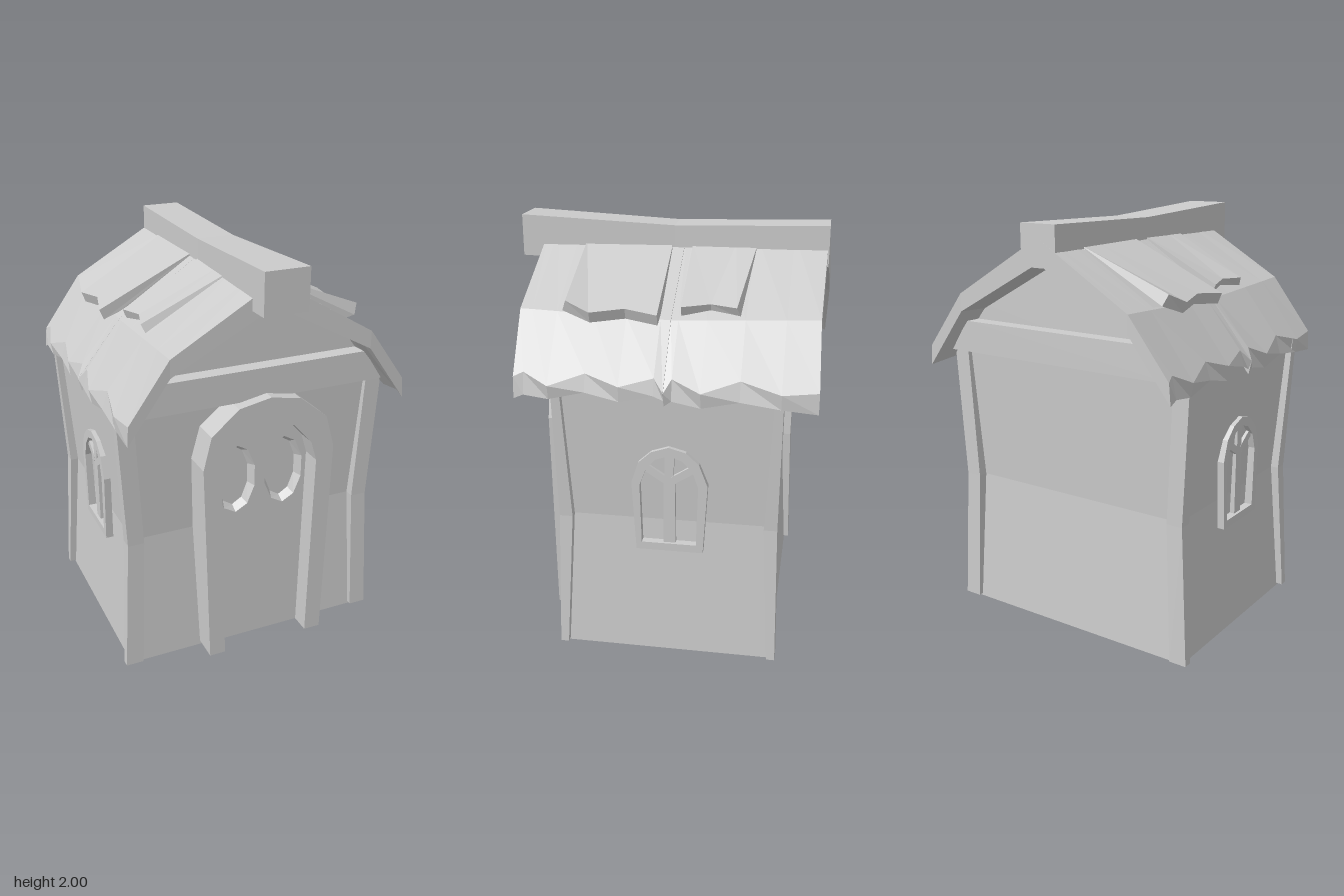
import * as THREE from 'three';

const grey = new THREE.MeshStandardMaterial({ color: 0xcccccc, flatShading: true, side: THREE.DoubleSide });

function mesh(name, geometry) {
  const m = new THREE.Mesh(geometry, grey);
  m.name = name;
  return m;
}

// Skin over rings of [x, y, z] points; rings run counter-clockwise about the direction of travel
function loft(rings, capStart = true, capEnd = true) {
  const pos = [];
  const tri = (a, b, c) => pos.push(...a, ...b, ...c);
  const n = rings[0].length;
  for (let i = 0; i < rings.length - 1; i++) {
    for (let j = 0; j < n; j++) {
      const k = (j + 1) % n, r = rings[i], s = rings[i + 1];
      tri(r[j], r[k], s[k]);
      tri(r[j], s[k], s[j]);
    }
  }
  const first = rings[0], last = rings[rings.length - 1];
  for (let j = 1; j < n - 1; j++) {
    if (capStart) tri(first[0], first[j + 1], first[j]);
    if (capEnd) tri(last[0], last[j], last[j + 1]);
  }
  const g = new THREE.BufferGeometry();
  g.setAttribute('position', new THREE.Float32BufferAttribute(pos, 3));
  g.computeVertexNormals();
  return g;
}

const v2 = (pts) => pts.map(([x, y]) => new THREE.Vector2(x, y));

// Flat outline with holes, pushed from z0 to z1
function slab(outline, holes, z0, z1) {
  const shape = new THREE.Shape(v2(outline));
  holes.forEach((h) => shape.holes.push(new THREE.Path(v2(h))));
  return new THREE.ExtrudeGeometry(shape, { depth: z1 - z0, bevelEnabled: false }).translate(0, 0, z0);
}

const MID = -0.05; // centre of the body in z
const SHIFT = -0.008; // centre of the body in x
const WAIST = 0.68;
const pinch = (y) => 1 - Math.abs(y - WAIST) / WAIST; // 1 at the waist, 0 at top and foot
const wallX = (y) => 0.645 - 0.045 * pinch(y);
const wallZ = (y) => 0.5 - 0.035 * pinch(y);

// Slab whose back follows the bent wall
function seatedSlab(outline, holes, front, wall) {
  const g = slab(outline, holes, 0, front);
  const p = g.attributes.position;
  for (let i = 0; i < p.count; i++) {
    if (p.getZ(i) < front / 2) p.setZ(i, wall(p.getY(i)));
  }
  g.computeVertexNormals();
  return g;
}

function buildBody() {
  const body = new THREE.Group();
  body.name = 'body';
  body.position.set(SHIFT, 0, MID);

  // Walls pinched at the waist, open below
  const wallRings = [0, WAIST, 1.36].map((y) => {
    const x = wallX(y), z = wallZ(y);
    return [[x, y, z], [x, y, -z], [-x, y, -z], [-x, y, z]];
  });
  body.add(mesh('walls', loft(wallRings, false, false)));

  // L-shaped corner posts: y, inner x, outer x, inner z, outer z
  const postRows = [[0.01, 0.59, 0.677, 0.485, 0.524], [WAIST, 0.56, 0.64, 0.45, 0.512], [1.36, 0.592, 0.675, 0.482, 0.521]];
  for (const sx of [-1, 1]) {
    for (const sz of [-1, 1]) {
      const rings = postRows.map(([y, xi, xo, zi, zo]) => {
        const wx = wallX(y), wz = wallZ(y);
        const [corner, ...rest] = [[xo, zo], [xo, zi], [wx, zi], [wx, wz], [xi, wz], [xi, zo]]
          .map(([x, z]) => [sx * x, y, sz * z]);
        return [corner, ...(sx === sz ? rest : rest.reverse())];
      });
      body.add(mesh('cornerPost', loft(rings)));
    }
    // Gable panel and cross beam at each end
    const gable = slab([[-0.62, 1.34], [0.62, 1.34], [0.5, 1.57], [0, 1.85], [-0.5, 1.57]], [], -0.01, 0.01);
    body.add(mesh('gable', gable.translate(0, 0, sx * 0.49)));
    const beam = slab([[-0.64, 1.34], [0.64, 1.34], [0.54, 1.49], [-0.54, 1.49]], [], -0.05, 0.05);
    body.add(mesh('crossBeam', beam.translate(0, 0, sx * 0.525)));
  }
  return body;
}

function buildDoor() {
  const door = new THREE.Group();
  door.name = 'door';
  const wall = (y) => MID + wallZ(y);
  const inner = [[-0.205, 0.02], [0.245, 0.02], [0.258, WAIST], [0.265, 1.0], [0.235, 1.1], [0.14, 1.205],
    [0.02, 1.245], [-0.11, 1.205], [-0.195, 1.1], [-0.225, 1.0], [-0.218, WAIST]];
  // Arched surround, open at the foot
  const frame = [[-0.285, 0.02], inner[0], ...inner.slice(2).reverse(), inner[1], [0.33, 0.02], [0.346, WAIST],
    [0.355, 1.06], [0.31, 1.22], [0.17, 1.335], [0.02, 1.365], [-0.14, 1.335], [-0.275, 1.22], [-0.315, 1.06],
    [-0.304, WAIST]];
  door.add(mesh('doorFrame', seatedSlab(frame, [], 0.58, wall)));

  // Door leaf with two recessed oval lights
  const oval = (cx, k) => Array.from({ length: 10 }, (_, i) => {
    const a = Math.PI / 2 + (i * Math.PI) / 5;
    return [cx + Math.cos(a) * 0.103 * k, 0.927 + Math.sin(a) * 0.178 * (k * 0.6 + 0.4)];
  });
  const centres = [-0.107, 0.143];
  door.add(mesh('doorLeaf', seatedSlab(inner, centres.map((c) => oval(c, 1)), 0.48, wall)));
  for (const c of centres) {
    const ring = (k, z) => oval(c, k).map(([x, y]) => [x, y, z]);
    door.add(mesh('doorLight', loft([ring(1, 0.48), ring(0.8, 0.438)], false, true)));
  }
  return door;
}

// Arched window on the +x wall, drawn with u = -z
function buildWindow() {
  const win = new THREE.Group();
  win.name = 'window';
  const wall = (y) => wallX(y) + SHIFT;
  const outer = [[-0.093, 0.54], [0.22, 0.54], [0.24, 0.88], [0.2, 0.985], [0.14, 1.04], [0.06, 1.062],
    [-0.02, 1.035], [-0.08, 0.98], [-0.113, 0.88]];
  const hole = [[-0.068, 0.577], [0.188, 0.577], [0.197, 0.87], [0.17, 0.95], [0.12, 1.0], [0.06, 1.02],
    [0, 1.0], [-0.045, 0.95], [-0.075, 0.87]];
  const bars = [
    [[0.032, 0.57], [0.09, 0.57], [0.088, 0.9], [0.034, 0.9]],
    [[0.04, 0.89], [0.08, 0.89], [0.085, 1.03], [0.04, 1.03]],
    [[0.034, 0.88], [0.05, 0.91], [-0.04, 0.97], [-0.06, 0.94]],
    [[0.088, 0.88], [0.182, 0.94], [0.162, 0.97], [0.07, 0.91]],
  ];
  win.add(mesh('windowFrame', seatedSlab(outer, [hole], 0.638, wall).rotateY(Math.PI / 2)));
  bars.forEach((b, i) => {
    win.add(mesh('glazingBar', seatedSlab(b, [], 0.624 + i * 0.0005, wall).rotateY(Math.PI / 2)));
  });
  return win;
}

// Roof slope on the +x side
function buildSlope() {
  const slope = new THREE.Group();
  slope.name = 'roofSlope';

  // Two thick bent panels with a ragged eave: z, eave top y, eave bottom y, z offset at the bend
  const panels = [
    [[-0.72, 1.37, 1.275, 0.01], [-0.56, 1.355, 1.288, 0], [-0.38, 1.4, 1.312, 0], [-0.21, 1.345, 1.275, 0],
      [-0.08, 1.395, 1.3, 0], [-0.047, 1.34, 1.275, 0]],
    [[-0.046, 1.34, 1.3, 0], [0, 1.395, 1.32, 0], [0.155, 1.355, 1.285, 0], [0.31, 1.4, 1.32, 0],
      [0.475, 1.345, 1.28, 0], [0.59, 1.395, 1.295, 0], [0.635, 1.375, 1.275, 0.012]],
  ];
  for (const rows of panels) {
    const rings = rows.map(([z, top, low, dz]) => {
      const bend = 1.61 + 0.04 * Math.abs(z + 0.045);
      const eave = 0.695 - (top - 1.345) * 0.7; // keeps the lower face flat
      return [[0.48, bend, z + dz], [0, 1.92, z], [0, 1.81, z],
        [0.48, bend - 0.085, z + dz], [0.683, low, z], [eave, top, z]];
    });
    slope.add(mesh('roofPanel', loft(rings)));
  }

  // Raised shingles: z at ridge, z at lip, lip x, lip y, spread of the underside in z
  const shingles = [
    [[-0.39, -0.34, 0.475, 1.675, -0.02], [-0.29, -0.22, 0.44, 1.68, 0], [-0.085, -0.09, 0.475, 1.67, 0]],
    [[0.01, 0.003, 0.56, 1.65, 0], [0.15, 0.155, 0.522, 1.665, 0], [0.3, 0.31, 0.558, 1.65, 0],
      [0.43, 0.42, 0.535, 1.695, 0.02]],
  ];
  for (const rows of shingles) {
    const rings = rows.map(([zi, zo, x, y, dz]) => [[0.07, 1.88, zi], [0.07, 1.83, zi + dz],
      [x - 0.1, 1.63, zo + dz], [x - 0.02, y - 0.05, zo + dz], [x, y, zo]]);
    slope.add(mesh('shingle', loft(rings)));
  }
  return slope;
}

export function createModel() {
  const model = new THREE.Group();
  model.name = 'hut';
  model.add(buildBody(), buildDoor());

  // Windows and roof slopes repeat half a turn round
  for (const [build, dx] of [[buildWindow, 2 * SHIFT], [buildSlope, 0]]) {
    const other = build();
    other.rotation.y = Math.PI;
    other.position.set(dx, 0, -0.09);
    model.add(build(), other);
  }

  // Sagging ridge beam
  const rect = (x0, x1, y0, y1, z) => [[x0, y0, z], [x1, y0, z], [x1, y1, z], [x0, y1, z]];
  model.add(mesh('ridgeBeam', loft([
    rect(-0.1, 0.09, 1.79, 1.98, -0.725),
    rect(-0.093, 0.09, 1.78, 1.965, 0),
    rect(-0.11, 0.102, 1.805, 2, 0.74),
  ])));
  return model;
}
